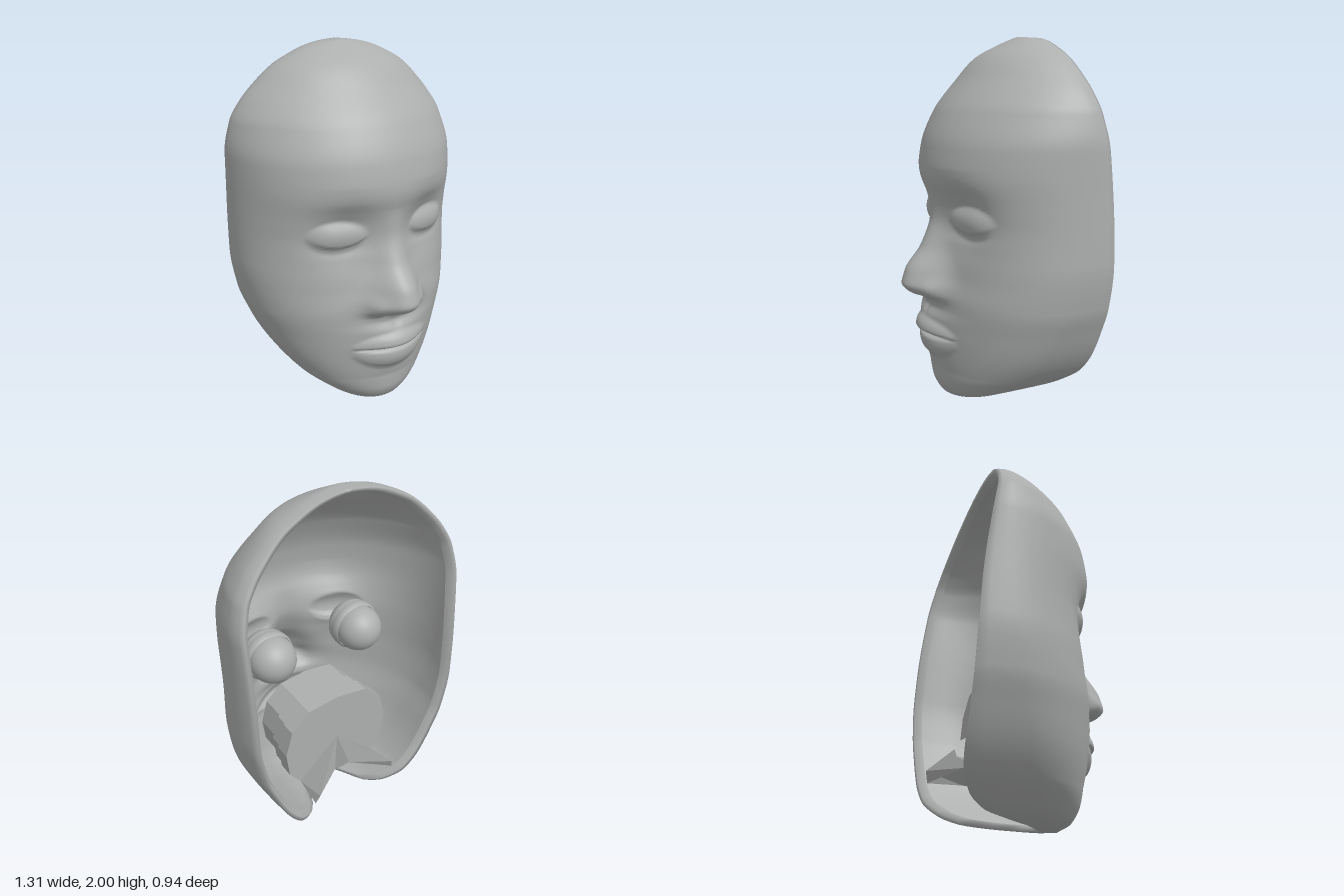
import * as THREE from 'three';
import { toCreasedNormals } from 'three/addons/utils/BufferGeometryUtils.js';

// Smooth monotone interpolation through [key, value] pairs (keys ascending)
function curve(p) {
  const n = p.length;
  const d = [];
  for (let i = 0; i < n - 1; i++) d.push((p[i + 1][1] - p[i][1]) / (p[i + 1][0] - p[i][0]));
  const m = p.map((_, i) => {
    if (i === 0) return d[0];
    if (i === n - 1) return d[n - 2];
    return d[i - 1] * d[i] <= 0 ? 0 : (2 * d[i - 1] * d[i]) / (d[i - 1] + d[i]);
  });
  return (k) => {
    if (k <= p[0][0]) return p[0][1];
    if (k >= p[n - 1][0]) return p[n - 1][1];
    let i = 0;
    while (k > p[i + 1][0]) i++;
    const h = p[i + 1][0] - p[i][0], t = (k - p[i][0]) / h, t2 = t * t, t3 = t2 * t;
    return (2 * t3 - 3 * t2 + 1) * p[i][1] + (t3 - 2 * t2 + t) * h * m[i]
      + (3 * t2 - 2 * t3) * p[i + 1][1] + (t3 - t2) * h * m[i + 1];
  };
}
const bell = (v, s, power = 2) => Math.exp(-Math.pow(Math.abs(v) / s, power));

// Mask outline, depth of the widest line, rim depth, centre profile and section fullness, all by height
const halfWidth = curve([[0, 0], [0.01, 0.1], [0.04, 0.2], [0.1, 0.295], [0.175, 0.385], [0.31, 0.485], [0.45, 0.553],
  [0.6, 0.61], [0.85, 0.648], [1.2, 0.652], [1.43, 0.655], [1.6, 0.625], [1.7, 0.57], [1.8, 0.48], [1.88, 0.385],
  [1.93, 0.29], [1.97, 0.19], [1.99, 0.1], [2, 0]]);
const sideDepth = curve([[0, 0.1], [0.02, 0.06], [0.1, -0.03], [0.2, -0.11], [0.3, -0.15], [0.6, -0.24], [1, -0.3],
  [1.5, -0.31], [1.8, -0.28], [2, -0.25]]);
const rimDepth = curve([[0, 0.08], [0.02, -0.13], [0.045, -0.28], [0.1, -0.38], [0.19, -0.44], [0.3, -0.455], [0.7, -0.465],
  [1, -0.455], [1.4, -0.415], [1.6, -0.38], [2, -0.3]]);
const centreDepth = curve([[0, 0.18], [0.04, 0.245], [0.12, 0.283], [0.22, 0.292], [0.3, 0.295], [0.4, 0.3], [0.5, 0.305],
  [0.6, 0.308], [0.75, 0.288], [0.9, 0.28], [1.01, 0.28], [1.13, 0.3], [1.285, 0.33], [1.42, 0.312],
  [1.6, 0.24], [1.77, 0.11], [1.89, 0], [2, -0.21]]);
const fullness = curve([[0, 1], [1.4, 1], [1.6, 1.12], [1.75, 1.2], [1.9, 1.1], [2, 1]]);

// Feature profiles by height
const noseHeight = curve([[0.56, 0], [0.59, 0.02], [0.61, 0.06], [0.64, 0.13], [0.69, 0.175], [0.757, 0.165],
  [0.89, 0.08], [1.01, 0.032], [1.1, 0.012], [1.18, 0]]);
const noseWidth = curve([[0.6, 0.155], [0.69, 0.15], [0.77, 0.13], [0.87, 0.105], [1, 0.085], [1.1, 0.075]]);
const socketShape = curve([[0.65, 0], [0.8, 0.12], [0.92, 0.5], [1, 0.95], [1.1, 1], [1.17, 0.65], [1.24, 0.2], [1.32, 0]]);
const muzzleHeight = curve([[0.2, 0], [0.28, 0.018], [0.36, 0.034], [0.42, 0.047], [0.5, 0.045], [0.56, 0.016], [0.62, 0]]);
const lipHeight = curve([[0.25, 0], [0.275, 0.01], [0.3, 0.026], [0.335, 0.032], [0.37, 0.026], [0.392, 0.008],
  [0.402, -0.035], [0.409, 0.012], [0.43, 0.037], [0.46, 0.03], [0.5, 0]]);

function sculpt(x, y, z) {
  const ax = Math.abs(x);
  // Eye sockets with softly rounded closed lids
  z -= 0.055 * bell(ax - 0.25, 0.15) * socketShape(y);
  const dx = ax - 0.285, q = 1 - (dx / 0.155) ** 2 - ((y - 1.04) / 0.092) ** 2;
  if (q > 0) {
    const below = 0.99 + 2.2 * dx * dx - y;
    z += 0.05 * q - 0.014 * Math.sqrt(q) * THREE.MathUtils.smoothstep(below, -0.004, 0.008);
  }
  // Nose, nostril wings and nostrils
  z += noseHeight(y) * bell(x, noseWidth(y), 2.3);
  z += 0.018 * bell(ax - 0.14, 0.035) * bell(y - 0.668, 0.045);
  z -= 0.015 * bell(ax - 0.065, 0.03) * bell(y - 0.612, 0.018);
  // Muzzle, and lips narrowing to the mouth corners
  z += muzzleHeight(y) * bell(x, 0.2);
  const taper = Math.max(0, 1 - (x / 0.245) ** 2);
  z += lipHeight(0.402 + (y - 0.402) / Math.max(0.4, Math.sqrt(taper))) * Math.pow(taper, 0.8);
  // Groove under the nose
  z -= 0.01 * bell(x, 0.025) * bell(y - 0.54, 0.035);
  return z;
}

function faceGeometry() {
  const rows = 300, cols = 128, back = 4, pos = [], idx = [];
  const stride = cols + 1 + 2 * (back + 2);
  for (let i = 0; i <= rows; i++) {
    const y = 1 + Math.cos((Math.PI * i) / rows);
    const w = halfWidth(y), zs = sideDepth(y), zr = rimDepth(y), zc = centreDepth(y), full = fullness(y);
    // Side wall curving in to the rim, then the turned-in lip
    const wall = (side) => {
      const line = [];
      for (let k = 1; k <= back; k++) {
        const b = k / back;
        line.push([side * w * (1 - 0.04 * b * b), y, zs + (zr - zs) * b]);
      }
      for (const [inset, forward] of [[0.02, 0.005], [0.035, 0.045]])
        line.push([side * Math.max(0, w * 0.96 - inset), y + (1 - y) * inset * 0.8, zr + forward]);
      return line;
    };
    const line = wall(-1).reverse();
    for (let j = 0; j <= cols; j++) {
      const t = Math.PI * (j / cols - 0.5), x = w * Math.sin(t);
      line.push([x, y, sculpt(x, y, zs + (zc - zs) * Math.pow(Math.max(0, Math.cos(t)), full))]);
    }
    line.push(...wall(1));
    line.forEach((p) => pos.push(...p));
  }
  for (let i = 0; i < rows; i++) for (let j = 0; j < stride - 1; j++) {
    const a = i * stride + j, b = a + stride;
    idx.push(a, b, a + 1, b, b + 1, a + 1);
  }
  const g = new THREE.BufferGeometry();
  g.setAttribute('position', new THREE.Float32BufferAttribute(pos, 3));
  g.setIndex(idx);
  g.computeVertexNormals();
  return g;
}

export function createModel() {
  const group = new THREE.Group();
  const grey = new THREE.MeshStandardMaterial({ color: 0xadaeae, side: THREE.DoubleSide });
  grey.name = 'plain grey';
  const add = (name, geometry, parent = group) => {
    const mesh = new THREE.Mesh(geometry, grey);
    mesh.name = name;
    parent.add(mesh);
    return mesh;
  };

  add('faceShell', faceGeometry());

  // Eyeballs and the lid sleeves around them, seen from the hollow back
  for (const s of [-1, 1]) {
    const eye = new THREE.Group();
    eye.name = s > 0 ? 'leftEye' : 'rightEye';
    eye.position.set(s * 0.285, 1.015, -0.035);
    add('eyeball', new THREE.SphereGeometry(0.132, 32, 20), eye);
    const sleeve = [[0.134, 0.01], [0.145, 0.025], [0.145, 0.055], [0.136, 0.06], [0.142, 0.075], [0.135, 0.1], [0.11, 0.135]]
      .map(([r, h]) => new THREE.Vector2(r, h));
    add('lidSleeve', new THREE.LatheGeometry(sleeve, 32), eye).rotation.x = Math.PI / 2;
    group.add(eye);
  }

  // Mouth pouch: stepped rounded slabs with a notch at the bottom
  const half = [[0, 0.49], [0.14, 0.24], [0.25, 0.26], [0.32, 0.35], [0.34, 0.5], [0.3, 0.65], [0.19, 0.75], [0, 0.775]];
  const outline = [...half, ...half.slice(1, -1).reverse().map(([x, y]) => [-x, y])];
  [[1, -0.25, 0.09], [0.96, -0.16, 0.08], [0.9, -0.08, 0.16]].forEach(([k, z, depth], i) => {
    const shape = new THREE.Shape(outline.map(([x, y]) => new THREE.Vector2(x * k, 0.53 + (y - 0.53) * k)));
    const g = new THREE.ExtrudeGeometry(shape, { depth, bevelEnabled: false });
    g.translate(0, 0, z);
    add('mouthPouch' + (i + 1), toCreasedNormals(g, 0.3));
  });

  // Pointed folds that spread backward from the pouch notch
  for (const s of [-1, 1]) {
    const apex = [0, 0.49, -0.25], tip = [s * 0.25, 0.32, -0.455], tip2 = [s * 0.27, 0.26, -0.44];
    const inner = [s * 0.05, 0.3, -0.31], outer = [s * 0.25, 0.26, -0.25], floor = [0, 0.22, -0.25];
    const tris = [[apex, tip, inner], [apex, outer, tip], [outer, tip2, tip], [inner, tip, tip2],
      [apex, inner, floor], [floor, inner, outer]];
    const g = new THREE.BufferGeometry();
    const pts = tris.flatMap((t) => (s > 0 ? t : [t[0], t[2], t[1]])).flat();
    g.setAttribute('position', new THREE.Float32BufferAttribute(pts, 3));
    g.computeVertexNormals();
    add(s > 0 ? 'leftMouthFold' : 'rightMouthFold', g);
  }
  return group;
}
